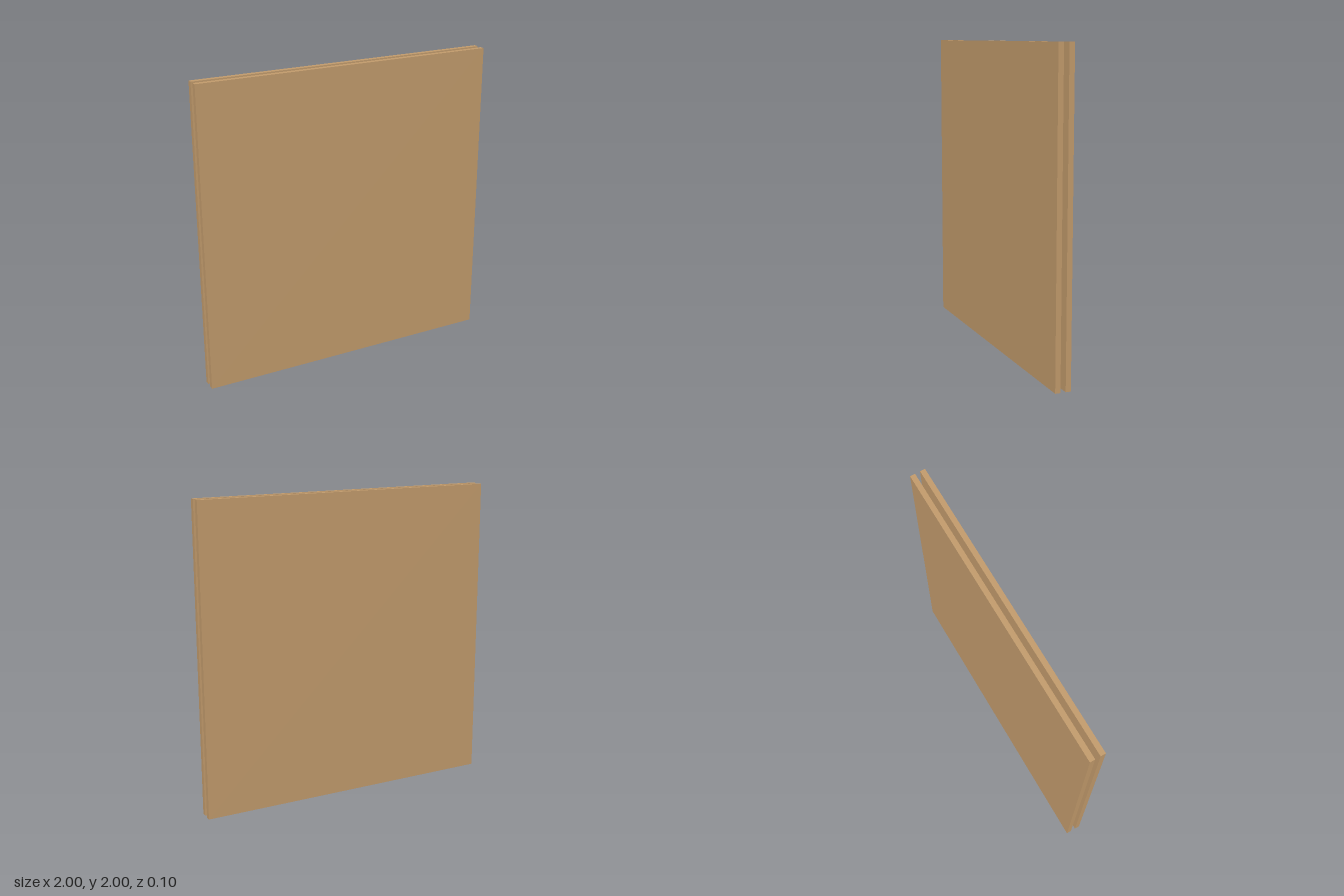
import * as THREE from 'three';

export function createModel() {
  const model = new THREE.Group();
  const wood = new THREE.MeshStandardMaterial({ color: 0xc19a6b });
  const size = 2;
  const layer = 1 / 30; // thickness of each of the three layers

  const addBoard = (name, side, z) => {
    const board = new THREE.Mesh(new THREE.BoxGeometry(side, side, layer), wood);
    board.name = name;
    board.position.set(0, size / 2, z);
    model.add(board);
  };

  // Two full-size panels held apart by a small central spacer
  addBoard('frontPanel', size, layer);
  addBoard('spacer', size / 3, 0);
  addBoard('backPanel', size, -layer);

  return model;
}
